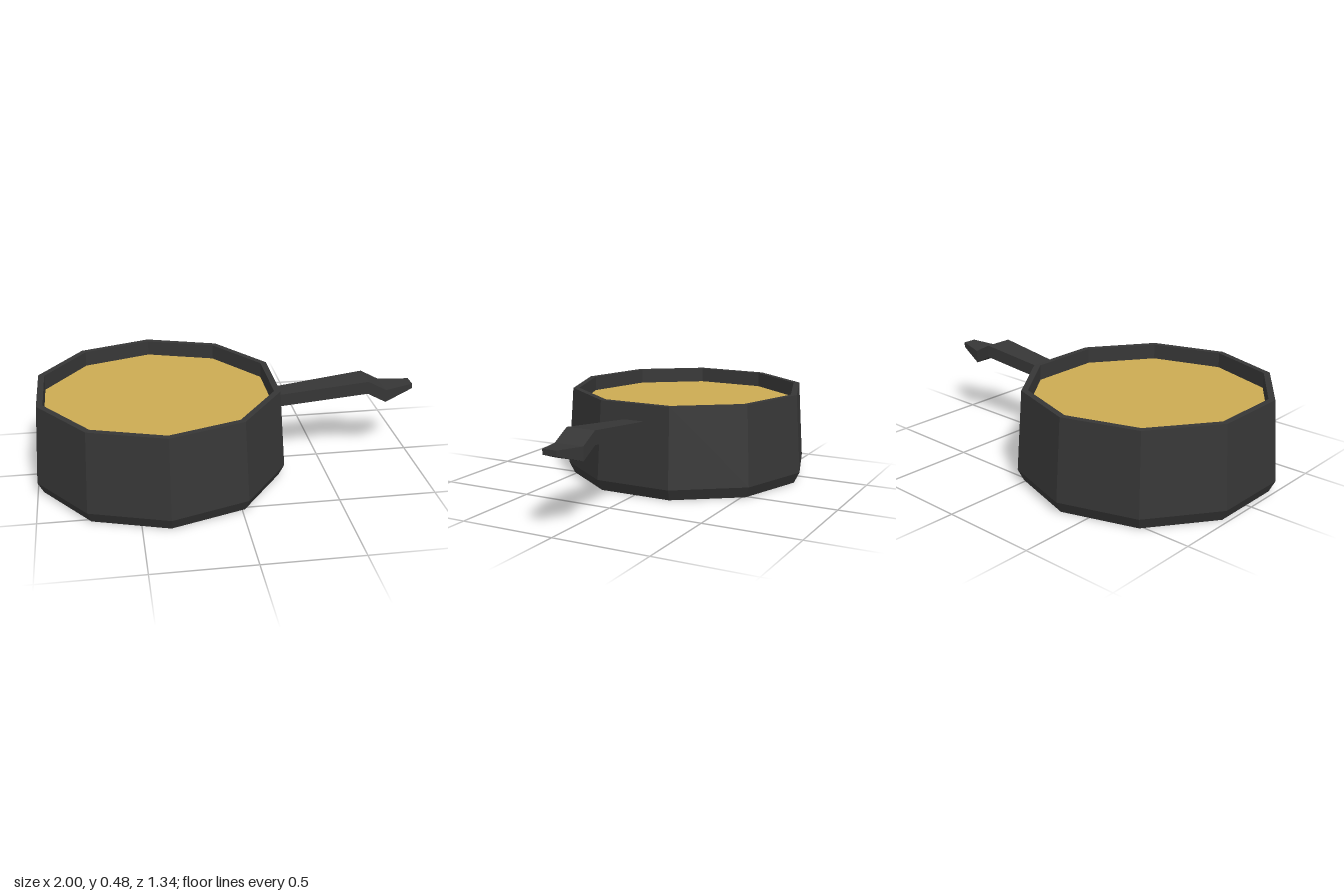
import * as THREE from 'three';

const SIDES = 10;
const PAN_X = -0.362;

// Loft through rectangular sections: [x, bottom y, top y, half width]
function loftBar(sections) {
  const pos = [];
  const index = [];
  for (const [x, y0, y1, w] of sections) {
    pos.push(x, y0, w, x, y0, -w, x, y1, -w, x, y1, w);
  }
  for (let s = 0; s < sections.length - 1; s++) {
    for (let k = 0; k < 4; k++) {
      const a = s * 4 + k;
      const b = s * 4 + ((k + 1) % 4);
      index.push(a, b, b + 4, a, b + 4, a + 4);
    }
  }
  const e = (sections.length - 1) * 4;
  index.push(0, 2, 1, 0, 3, 2, e, e + 1, e + 2, e, e + 2, e + 3);
  const geo = new THREE.BufferGeometry();
  geo.setAttribute('position', new THREE.Float32BufferAttribute(pos, 3));
  geo.setIndex(index);
  const flat = geo.toNonIndexed();
  flat.computeVertexNormals();
  return flat;
}

export function createModel() {
  const group = new THREE.Group();
  const iron = new THREE.MeshStandardMaterial({ name: 'dark iron', color: 0x363636, flatShading: true });
  const broth = new THREE.MeshStandardMaterial({ name: 'golden broth', color: 0xcbaa52, flatShading: true });

  const add = (name, geo, mat) => {
    const mesh = new THREE.Mesh(geo, mat);
    mesh.name = name;
    group.add(mesh);
    return mesh;
  };

  // Ten-sided pan: base, chamfer, tapering wall, rim and inner wall
  const profile = [
    [0, 0], [0.64, 0], [0.67, 0.06], [0.64, 0.48], [0.607, 0.48], [0.607, 0.36],
  ].map(([r, y]) => new THREE.Vector2(r, y));
  add('pan', new THREE.LatheGeometry(profile, SIDES).toNonIndexed(), iron).position.x = PAN_X;

  // Contents of the pan
  const surface = new THREE.CircleGeometry(0.607, SIDES, Math.PI / 2).rotateX(-Math.PI / 2);
  add('broth', surface, broth).position.set(PAN_X, 0.4, 0);

  // Kinked handle, widening and then narrowing to its tip
  add('handle', loftBar([
    [0.23, 0.326, 0.392, 0.056],
    [0.745, 0.38, 0.449, 0.077],
    [0.845, 0.326, 0.395, 0.077],
    [1.0, 0.378, 0.405, 0.037],
  ]), iron);

  return group;
}
